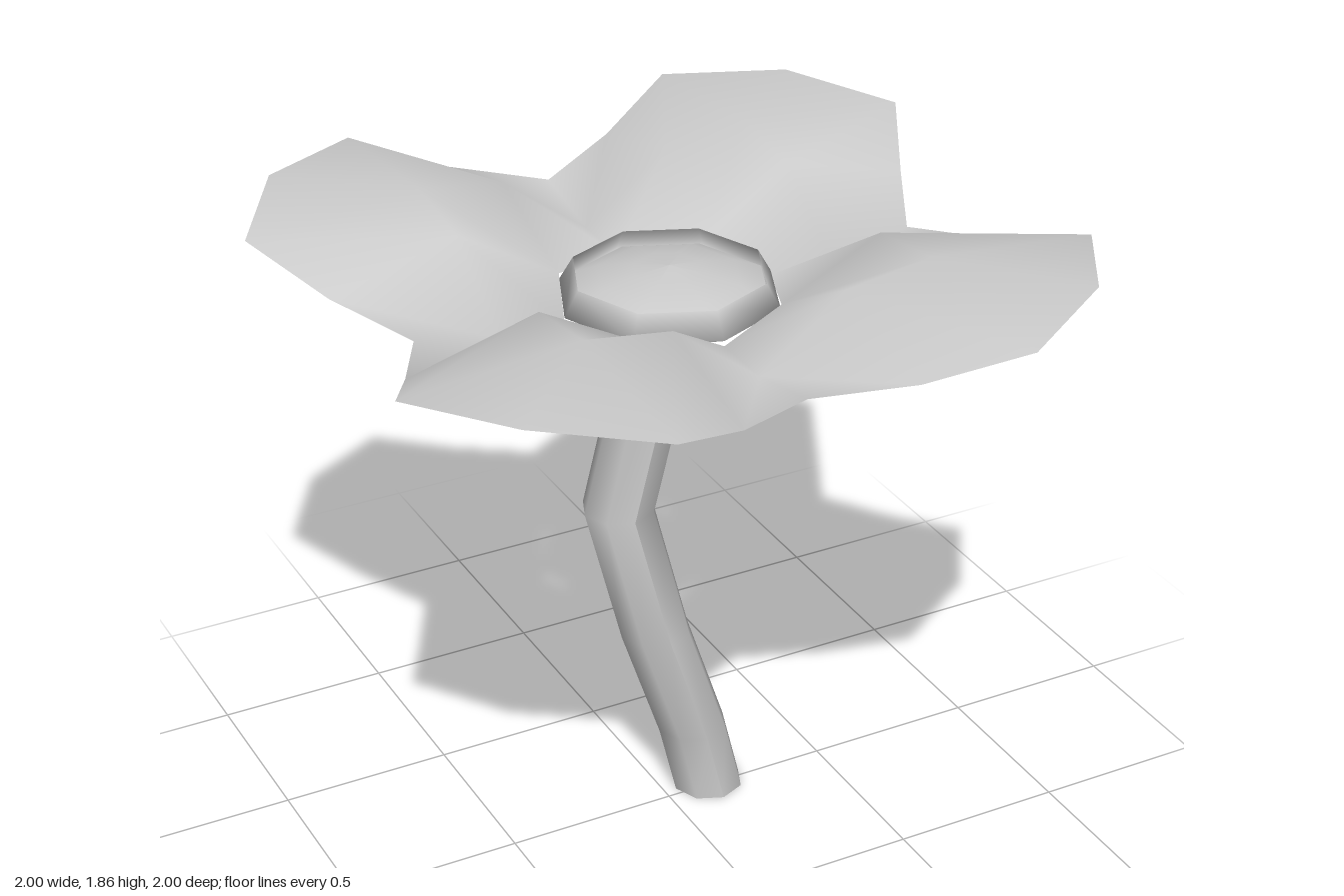
import * as THREE from 'three';

const material = new THREE.MeshStandardMaterial({ color: 0xcccccc, side: THREE.DoubleSide });

function addMesh(group, geometry, name) {
  const mesh = new THREE.Mesh(geometry, material);
  mesh.name = name;
  group.add(mesh);
}

// Octagonal open tube whose rings follow a bent line.
function stemGeometry() {
  const rings = [[0, 1.64, 0], [-0.12, 0.98, -0.075], [-0.04, 0.59, -0.013], [0.095, 0.21, -0.043], [0.14, 0, -0.025]];
  const geometry = new THREE.CylinderGeometry(0.104, 0.104, 1, 8, rings.length - 1, true);
  const p = geometry.attributes.position;
  for (let i = 0; i < p.count; i++) {
    const [x, y, z] = rings[Math.floor(i / 9)];
    p.setXYZ(i, p.getX(i) + x, y, p.getZ(i) + z);
  }
  geometry.computeVertexNormals();
  return geometry;
}

// One eighth of the corolla as [larger coordinate, smaller coordinate, height];
// it is mirrored over both axes and both diagonals.
const WEDGE = {
  10: [0.31, 0, 1.63], 11: [0.22, 0.22, 1.66],
  20: [0.5, 0, 1.63], 21: [0.5, 0.25, 1.82], 22: [0.5, 0.5, 1.855],
  30: [0.74, 0, 1.68], 31: [0.87, 0.25, 1.72], 32: [1, 0.5, 1.81], 33: [0.81, 0.81, 1.835],
};

function corollaGeometry() {
  const positions = [];
  const index = [];
  for (let i = -3; i <= 3; i++) {
    for (let j = -3; j <= 3; j++) {
      const a = Math.abs(i), b = Math.abs(j);
      const [major, minor, y] = WEDGE[Math.max(a, b) * 10 + Math.min(a, b)] || [0, 0, 1.63];
      positions.push(Math.sign(i) * (a >= b ? major : minor), y, Math.sign(j) * (a >= b ? minor : major));
    }
  }
  const at = (i, j) => (i + 3) * 7 + j + 3;
  for (let i = -3; i < 3; i++) {
    for (let j = -3; j < 3; j++) {
      if (i >= -1 && i < 1 && j >= -1 && j < 1) continue; // opening for the flower centre
      const a = at(i, j), b = at(i, j + 1), c = at(i + 1, j + 1), d = at(i + 1, j);
      if ((i + 0.5) * (j + 0.5) > 0) index.push(a, b, c, a, c, d);
      else index.push(a, b, d, b, c, d);
    }
  }
  const geometry = new THREE.BufferGeometry();
  geometry.setAttribute('position', new THREE.Float32BufferAttribute(positions, 3));
  geometry.setIndex(index);
  geometry.computeVertexNormals();
  return geometry;
}

// Eight-sided turned part from [radius, height] points.
const turned = (points) => new THREE.LatheGeometry(points.map(([r, y]) => new THREE.Vector2(r, y)), 8);

export function createModel() {
  const flower = new THREE.Group();
  flower.name = 'flower';
  addMesh(flower, stemGeometry(), 'stem');
  addMesh(flower, corollaGeometry(), 'petals');
  // cup under the petals, rising into a collar around the dome
  addMesh(flower, turned([[0.1, 1.61], [0.23, 1.605], [0.31, 1.645], [0.27, 1.715]]), 'cupAndCollar');
  addMesh(flower, turned([[0.28, 1.665], [0.2, 1.7], [0.1, 1.72], [0, 1.73]]), 'flowerCentre');
  return flower;
}
